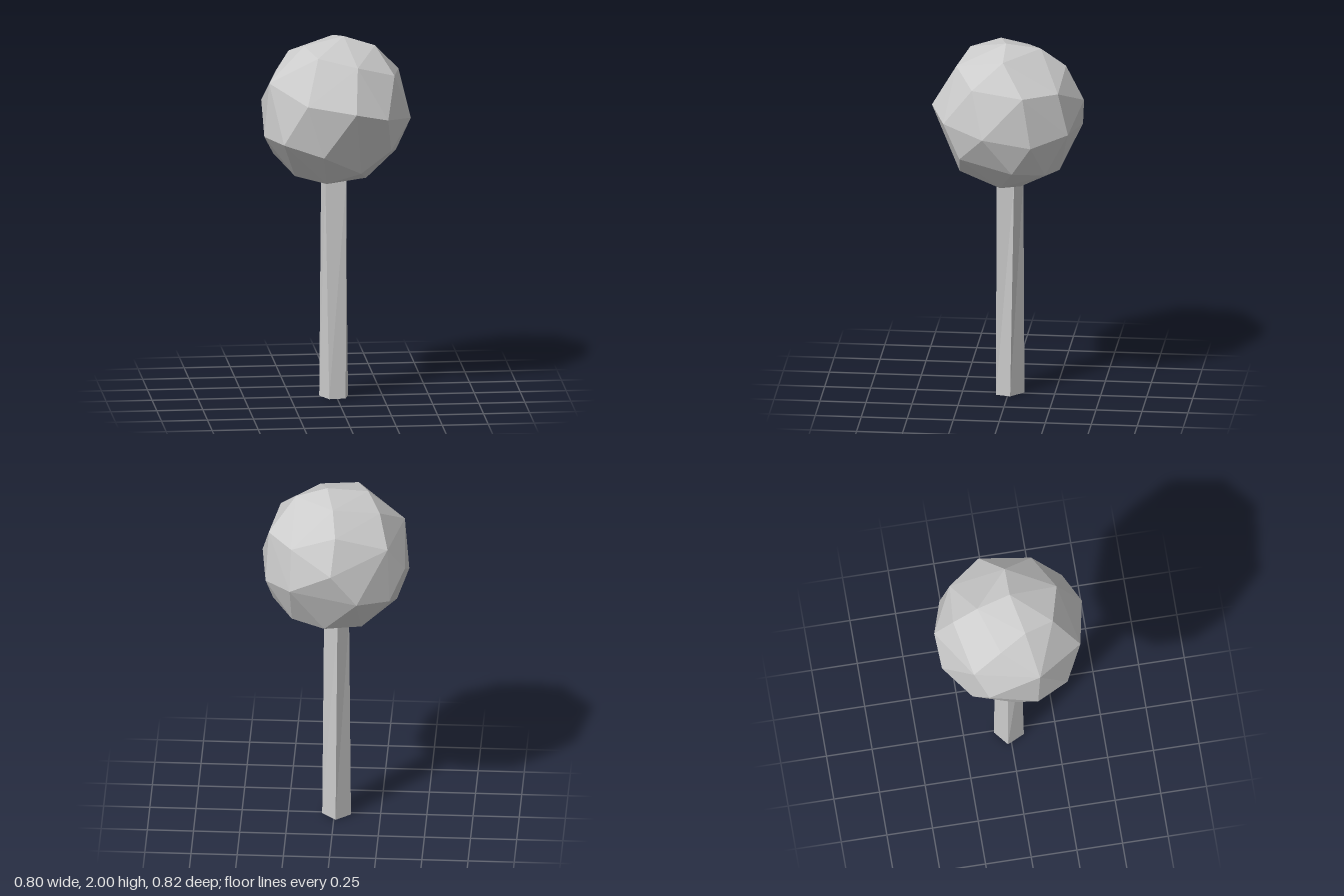
import * as THREE from 'three';
import { ConvexGeometry } from 'three/addons/geometries/ConvexGeometry.js';

// Corners of the faceted crown, relative to its centre
const CROWN = [
  // top
  [0.04, 0.405, 0.01], [0, 0.37, -0.175], [-0.18, 0.365, 0.06], [0.21, 0.35, 0.01],
  [-0.25, 0.31, -0.085], [-0.12, 0.33, 0.22], [0.09, 0.285, 0.275], [-0.02, 0.27, -0.31],
  // upper ring
  [0.3, 0.215, 0.17], [0.35, 0.19, -0.11], [0.22, 0.185, -0.29], [-0.3, 0.17, -0.24], [-0.375, 0.175, 0.11],
  // middle ring
  [0.07, 0.055, 0.41], [-0.19, 0.095, 0.36], [0.25, 0.005, 0.33], [0.395, -0.035, 0.105],
  [0.365, -0.085, -0.155], [0.225, -0.045, -0.345], [0, 0.085, -0.41], [-0.14, -0.095, -0.39],
  [-0.39, 0.02, -0.17], [-0.4, -0.125, 0.095], [-0.31, -0.135, 0.27],
  // lower ring
  [-0.1, -0.195, 0.345], [0.11, -0.305, 0.255], [0.275, -0.185, 0.24], [0.33, -0.245, -0.05],
  [0.22, -0.28, -0.22], [0.04, -0.305, -0.28], [-0.16, -0.3, -0.25], [-0.31, -0.14, -0.25], [-0.34, -0.245, -0.03],
  // bottom
  [-0.23, -0.355, 0.06], [-0.07, -0.375, 0.18], [0.16, -0.38, 0.03], [0.04, -0.405, -0.07],
];

// Uneven five-sided trunk sections as [x, z]
const TRUNK_TOP = [[-0.065, 0.057], [0.05, 0.06], [0.055, -0.035], [-0.02, -0.078], [-0.08, -0.02]];
const TRUNK_BASE = [[-0.045, 0.074], [0.045, 0.065], [0.066, -0.015], [-0.01, -0.085], [-0.09, -0.02]];

function trunkGeometry(height) {
  const sides = TRUNK_BASE.length;
  const geo = new THREE.CylinderGeometry(1, 1, height, sides, 1, true);
  const pos = geo.attributes.position;
  for (let i = 0; i < pos.count; i++) {
    const top = i <= sides;
    const [x, z] = (top ? TRUNK_TOP : TRUNK_BASE)[i % (sides + 1) % sides];
    pos.setXYZ(i, x, top ? height : 0, z);
  }
  geo.computeVertexNormals();
  return geo;
}

export function createModel() {
  const group = new THREE.Group();
  group.name = 'tree';

  // Faceted ball of leaves
  const crown = new THREE.Mesh(
    new ConvexGeometry(CROWN.map((p) => new THREE.Vector3(...p))),
    new THREE.MeshStandardMaterial({ color: 0xcccccc, flatShading: true }),
  );
  crown.name = 'crown';
  crown.position.y = 1.595;

  // Open-ended, slightly twisted trunk
  const trunk = new THREE.Mesh(
    trunkGeometry(1.22),
    new THREE.MeshStandardMaterial({ color: 0xcccccc, flatShading: true, side: THREE.DoubleSide }),
  );
  trunk.name = 'trunk';

  group.add(crown, trunk);
  return group;
}
